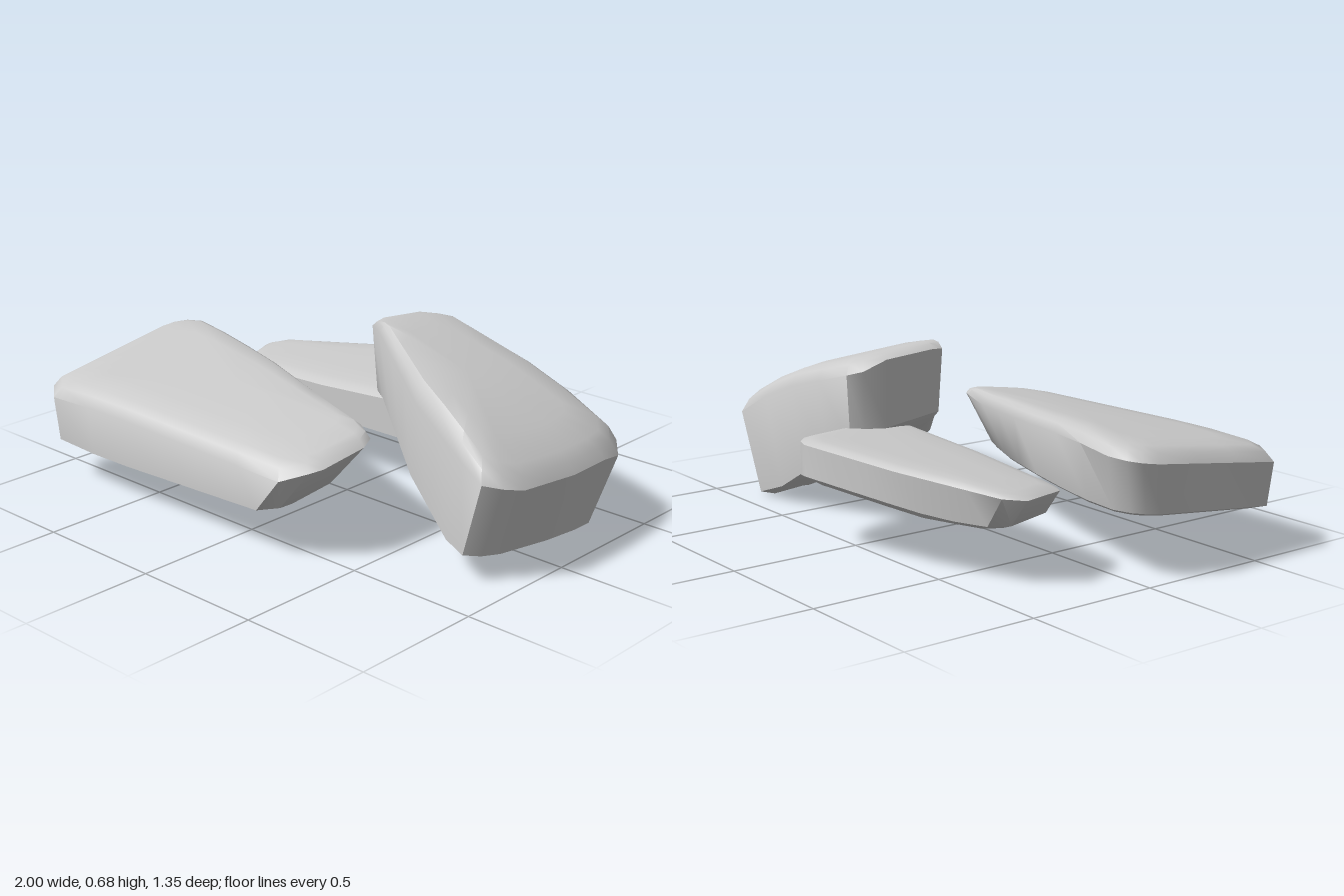
import * as THREE from 'three';
import { toCreasedNormals } from 'three/addons/utils/BufferGeometryUtils.js';

const { max, min, abs, ceil, hypot } = Math;

// Split long outline edges so the surfaces can bend along them
function subdivide(outline, step = 0.2) {
  return outline.flatMap(([x, z], i) => {
    const [x2, z2] = outline[(i + 1) % outline.length];
    const n = ceil(hypot(x2 - x, z2 - z) / step);
    return Array.from({ length: n }, (_, k) => [x + (x2 - x) * k / n, z + (z2 - z) * k / n]);
  });
}

// A worn slab: stacked rings from the underside centre, up the wall, over the crown
function slab({ name, outline, top, shoulder, bottom, foot }) {
  const pts = subdivide(outline);
  const n = pts.length;
  const box = new THREE.Box2().setFromPoints(pts.map(p => new THREE.Vector2(...p)));
  const c = box.getCenter(new THREE.Vector2());
  const half = box.getSize(new THREE.Vector2()).multiplyScalar(0.5);
  // Move an outline point inward by distance d, or to the centre
  const inset = ([x, z], d) => [
    c.x + (x - c.x) * max(0, 1 - d / half.x),
    c.y + (z - c.y) * max(0, 1 - d / half.y),
  ];
  const low = (p, d, lift) => {
    const [x, z] = inset(foot(...p), d);
    return [x, bottom(x, z) + lift, z];
  };
  // Crown ring, keeping a share of the step between shoulder and top
  const high = (p, d, share) => {
    const [x, z] = inset(p, d);
    return [x, top(x, z) - share * (top(...p) - shoulder(...p)), z];
  };
  const rings = [
    p => low(p, 9, 0),
    p => low(p, 0.16, 0),
    p => low(p, 0.05, 0),
    p => low(p, 0, 0.015),
    p => [p[0], shoulder(...p), p[1]],
    p => high(p, 0.025, 0.4),
    p => high(p, 0.06, 0.12),
    p => high(p, 0.16, 0),
    p => high(p, 9, 0),
  ].map(f => pts.map(f));

  const position = [];
  for (let r = 0; r < rings.length - 1; r++) {
    for (let i = 0; i < n; i++) {
      const j = (i + 1) % n;
      const [a, b, e, d] = [rings[r][i], rings[r + 1][i], rings[r + 1][j], rings[r][j]];
      if (r < rings.length - 2) position.push(...a, ...b, ...e);
      if (r > 0) position.push(...a, ...e, ...d);
    }
  }
  const geometry = new THREE.BufferGeometry();
  geometry.setAttribute('position', new THREE.Float32BufferAttribute(position, 3));
  const mesh = new THREE.Mesh(
    toCreasedNormals(geometry, 0.7),
    new THREE.MeshStandardMaterial({ color: 0xcccccc }),
  );
  mesh.name = name;
  return mesh;
}

export function createModel() {
  const group = new THREE.Group();
  group.name = 'rocks';

  // Long flat rock at the front
  const frontTop = (x, z) => 0.487 - 0.145 * z - 0.02 * (x + 0.6) - 0.06 * max(0, -0.6 - x);
  group.add(slab({
    name: 'frontRock',
    outline: [[-1, 0.03], [-0.985, -0.03], [-0.95, -0.07], [-0.88, -0.09], [-0.3, 0.06], [0.34, 0.27],
      [0.39, 0.3], [0.415, 0.36], [0.405, 0.55], [0.385, 0.6], [0.31, 0.67], [-0.89, 0.67], [-0.98, 0.6]],
    top: frontTop,
    shoulder: (x, z) => frontTop(x, z) - (x > 0.32 ? 0.035 : 0.055),
    bottom: (x, z) => 0.135 + 0.12 * max(0, 0.6 - z) + 0.04 * abs(x + 0.6),
    foot: (x, z) => [x > 0 ? x * 0.65 : x * 0.97, z + 0.07 * max(0, 0.66 - z)],
  }));

  // Tall rock on the left, leaning down toward its outer end
  const sideTop = (x, z) => 0.695 - 0.26 * (x - 0.1) - 0.13 * max(0, x - 0.56)
    - 0.2 * max(0, x - 0.8) + 0.08 * z;
  group.add(slab({
    name: 'leaningRock',
    outline: [[0.07, -0.1], [0.08, -0.3], [0.1, -0.39], [0.14, -0.435], [0.91, -0.425], [0.965, -0.36],
      [0.985, -0.25], [1, -0.05], [0.995, 0.22], [0.97, 0.3], [0.92, 0.35], [0.8, 0.31],
      [0.5, 0.19], [0.12, -0.04], [0.08, -0.05]],
    top: sideTop,
    // The diagonal front edge follows a straight sloping line
    shoulder: (x, z) => (z > -0.06 && x < 0.95
      ? min(0.65 - 0.322 * (x - 0.08), sideTop(x, z) - 0.03)
      : sideTop(x, z) - (z < -0.3 ? 0.065 : 0.04)),
    bottom: (x, z) => 0.04 + 0.13 * z + 0.55 * max(0, 0.76 - x),
    foot: (x, z) => [0.1 + (x - 0.07) * 0.86, z * 0.94],
  }));

  // Low rock at the back
  const backTop = (x, z) => 0.35 + 0.06 * x - 0.07 * z;
  group.add(slab({
    name: 'backRock',
    outline: [[-0.795, -0.36], [-0.75, -0.43], [-0.35, -0.575], [0.05, -0.675], [0.1, -0.66], [0.14, -0.62],
      [0.2, -0.43], [0.21, -0.2], [0.17, -0.13], [-0.25, -0.12], [-0.68, -0.145], [-0.73, -0.165]],
    top: backTop,
    shoulder: (x, z) => backTop(x, z) - 0.02,
    bottom: (x, z) => 0.19 + 0.35 * max(0, -0.5 - z),
    foot: (x, z) => [x < 0 ? x * 0.9 : x, z],
  }));

  return group;
}
